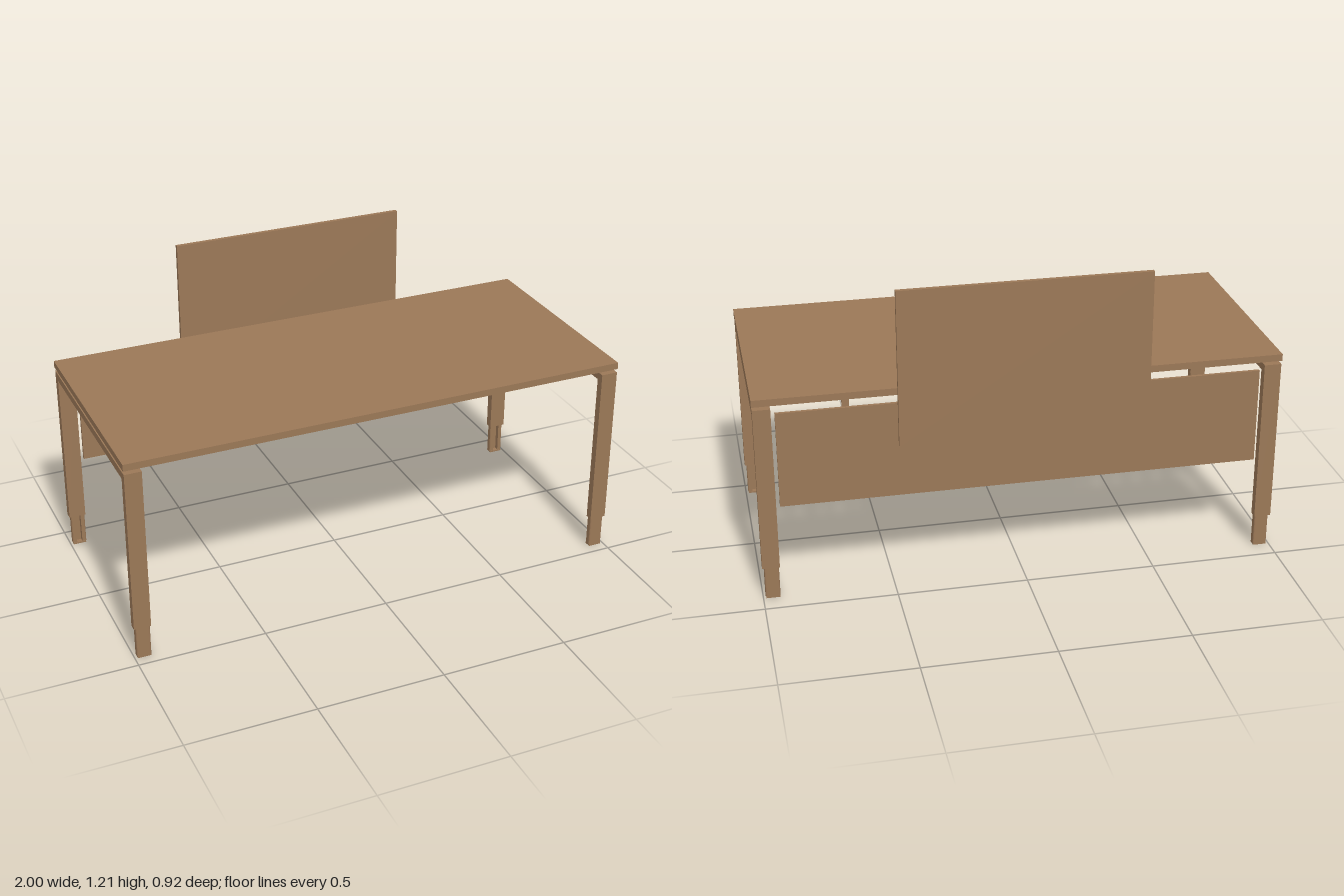
import * as THREE from 'three';

const wood = new THREE.MeshStandardMaterial({ color: 0x9b7857 });
wood.name = 'warm brown';

function add(parent, name, geometry, x = 0, y = 0, z = 0) {
  const mesh = new THREE.Mesh(geometry, wood);
  mesh.name = name;
  mesh.position.set(x, y, z);
  parent.add(mesh);
  return mesh;
}

// Box given by its limits along each axis
function slab(parent, name, [x0, x1], [y0, y1], [z0, z1]) {
  return add(parent, name, new THREE.BoxGeometry(x1 - x0, y1 - y0, z1 - z0),
    (x0 + x1) / 2, (y0 + y1) / 2, (z0 + z1) / 2);
}

function polygon(points) {
  return new THREE.Shape(points.map(([x, y]) => new THREE.Vector2(x, y)));
}

function extrude(shape, depth) {
  return new THREE.ExtrudeGeometry(shape, { depth, bevelEnabled: false, curveSegments: 6 });
}

// Long strip with a row of round holes, lying in the xy plane
function perforatedStrip(height) {
  const shape = polygon([[-0.93, 0], [0.93, 0], [0.93, height], [-0.93, height]]);
  for (let i = 0; i < 33; i++) {
    const hole = new THREE.Path();
    hole.absarc(-0.888 + i * 0.0555, height / 2, 0.006, 0, Math.PI * 2, true);
    shape.holes.push(hole);
  }
  return extrude(shape, 0.003);
}

// Channel section of the telescopic leg, grooved on the +y side
function lowerLegShape() {
  const w = 0.028, d = 0.013, r = 0.008;
  const s = new THREE.Shape();
  s.moveTo(-w + r, -d);
  s.lineTo(w - r, -d);
  s.quadraticCurveTo(w, -d, w, -d + r);
  s.lineTo(w, d - 0.003);
  s.lineTo(w - 0.003, d);
  s.lineTo(0.011, d);
  s.lineTo(0.011, -d + 0.007);
  s.lineTo(-0.011, -d + 0.007);
  s.lineTo(-0.011, d);
  s.lineTo(-w + 0.003, d);
  s.lineTo(-w, d - 0.003);
  s.lineTo(-w, -d + r);
  s.quadraticCurveTo(-w, -d, -w + r, -d);
  return s;
}

// Inverted U frame with telescopic legs and glides
function sideFrame(parent, side) {
  const frame = new THREE.Group();
  frame.name = side > 0 ? 'leftFrame' : 'rightFrame';
  parent.add(frame);
  const profile = polygon([
    [-0.46, 0.13], [-0.43, 0.13], [-0.43, 0.752], [0.395, 0.752],
    [0.395, 0.13], [0.428, 0.13], [0.428, 0.782], [-0.46, 0.782],
  ]);
  const uFrame = add(frame, 'legFrame', extrude(profile, 0.066), side > 0 ? 0.998 : -0.932);
  uFrame.rotation.y = Math.PI / 2;
  uFrame.position.x -= 0.066;

  for (const front of [true, false]) {
    const leg = new THREE.Group();
    leg.name = front ? 'frontLowerLeg' : 'backLowerLeg';
    leg.position.set(side * 0.963, 0, front ? 0.445 : -0.411);
    leg.rotation.y = front ? 0 : Math.PI;
    frame.add(leg);
    const tube = add(leg, 'telescopicLeg', extrude(lowerLegShape(), 0.15), 0, 0.006, 0);
    tube.rotation.x = -Math.PI / 2;
    slab(leg, 'footGlide', [-0.026, 0.026], [0, 0.006], [-0.015, 0.013]);
  }
}

// Perforated channel under the top
function supportRail(parent, name, zMin) {
  const rail = new THREE.Group();
  rail.name = name;
  parent.add(rail);
  add(rail, 'railFrontWall', perforatedStrip(0.028), 0, 0.755, zMin + 0.032);
  add(rail, 'railBackWall', perforatedStrip(0.028), 0, 0.755, zMin);
  const base = add(rail, 'railBase', perforatedStrip(0.029), 0, 0.757, zMin + 0.003);
  base.rotation.x = Math.PI / 2;
}

// Tapered arm reaching from a rail towards the table edge
function supportArm(parent, x, zRail, direction) {
  const arm = new THREE.Group();
  arm.name = 'supportArm';
  arm.position.set(x, 0, zRail);
  arm.rotation.y = direction > 0 ? 0 : Math.PI;
  parent.add(arm);

  // Flat triangular plate with openings
  const plateShape = polygon([[-0.055, 0], [0.055, 0], [0.02, -0.19], [-0.02, -0.19]]);
  for (const [hx, hz, r] of [[-0.025, -0.04, 0.012], [0.025, -0.04, 0.012], [0, -0.11, 0.013]]) {
    const hole = new THREE.Path();
    hole.absarc(hx, hz, r, 0, Math.PI * 2, true);
    plateShape.holes.push(hole);
  }
  const plate = add(arm, 'armPlate', extrude(plateShape, 0.004), 0, 0.794, 0.02);
  plate.rotation.x = Math.PI / 2;

  // Sloping side ribs
  const rib = polygon([[0.02, 0.795], [-0.18, 0.795], [-0.18, 0.788], [-0.04, 0.78], [0.02, 0.78]]);
  for (const rx of [-0.02, 0.016]) {
    const mesh = add(arm, 'armRib', extrude(rib, 0.004), rx, 0, 0.02);
    mesh.rotation.y = Math.PI / 2;
  }
  // Saddle wrapped around the rail
  for (const z of [-0.022, 0.018]) {
    slab(arm, 'railSaddle', [-0.021, 0.021], [0.753, 0.795], [z, z + 0.004]);
  }
  slab(arm, 'railSaddleBase', [-0.021, 0.021], [0.752, 0.755], [-0.022, 0.022]);
}

export function createModel() {
  const desk = new THREE.Group();
  desk.name = 'desk';

  slab(desk, 'tableTop', [-1, 1], [0.796, 0.823], [-0.43, 0.46]);
  slab(desk, 'privacyScreen', [-0.474, 0.474], [0.6, 1.21], [-0.459, -0.443]);
  slab(desk, 'modestyPanel', [-0.917, 0.917], [0.38, 0.758], [-0.418, -0.406]);

  supportRail(desk, 'frontRail', 0.2);
  supportRail(desk, 'backRail', -0.205);

  for (const side of [-1, 1]) {
    sideFrame(desk, side);
    supportArm(desk, side * 0.72, 0.218, 1);
    supportArm(desk, side * 0.72, -0.187, -1);
    // Hangers and clips of the modesty panel
    slab(desk, 'panelHanger', [side * 0.66 - 0.014, side * 0.66 + 0.014], [0.72, 0.796], [-0.406, -0.402]);
    slab(desk, 'panelHangerFlange', [side * 0.66 - 0.014, side * 0.66 + 0.014], [0.792, 0.796], [-0.406, -0.36]);
    slab(desk, 'panelClip', [side * 0.66 - 0.004, side * 0.66 + 0.004], [0.448, 0.458], [-0.406, -0.396]);
  }

  // Mounting bracket of the screen
  slab(desk, 'screenBracket', [-0.03, 0.11], [0.705, 0.795], [-0.434, -0.43]);
  slab(desk, 'screenBracketFlange', [-0.03, 0.11], [0.791, 0.796], [-0.43, -0.34]);

  return desk;
}
